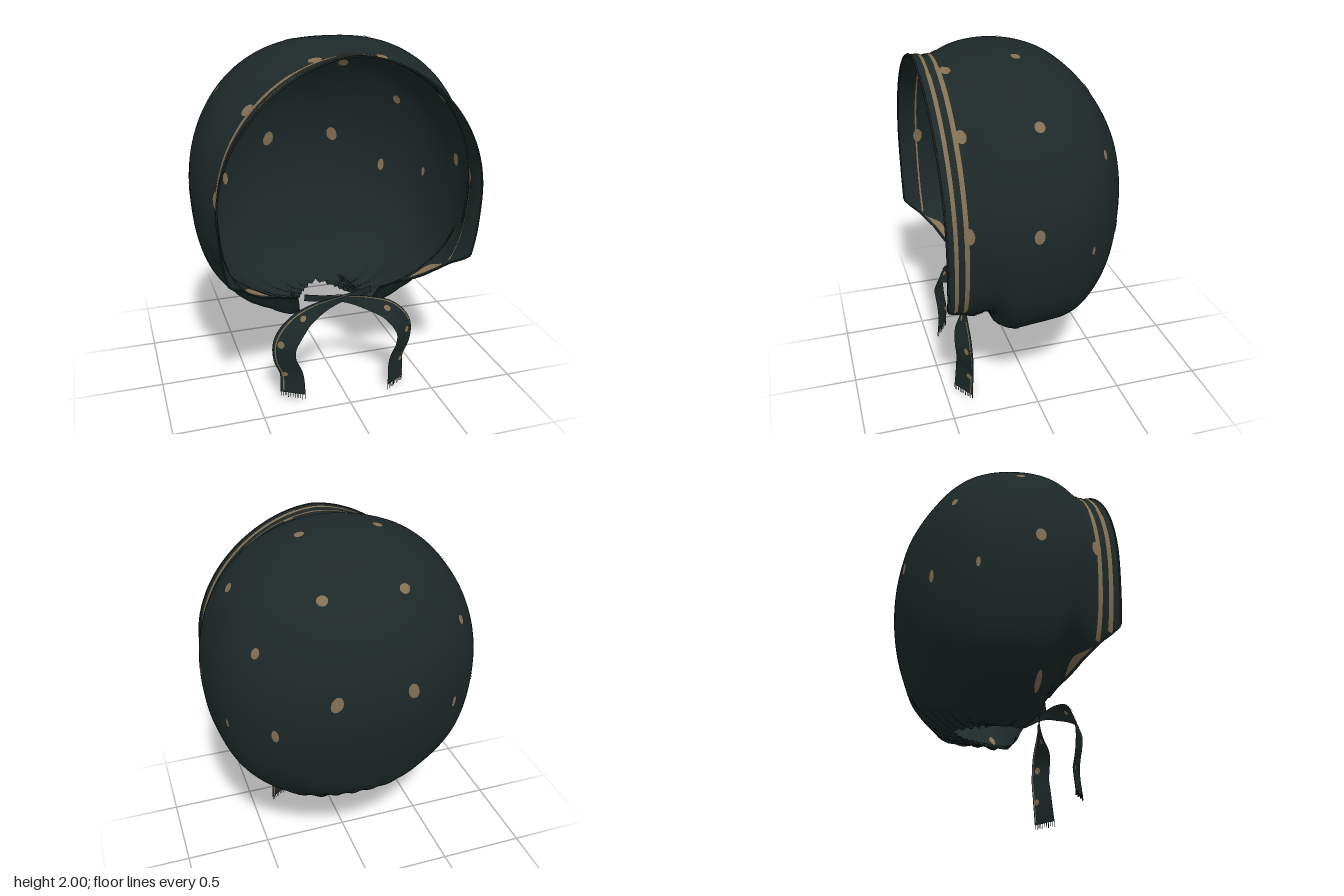
import * as THREE from 'three';

const mat = (name, color) => {
  const m = new THREE.MeshStandardMaterial({ color, side: THREE.DoubleSide });
  m.name = name;
  return m;
};

// Smooth curve through [x, y] knots
function smoothCurve(knots) {
  const n = knots.length;
  const slope = i => {
    const a = knots[Math.max(i - 1, 0)], b = knots[Math.min(i + 1, n - 1)];
    return (b[1] - a[1]) / (b[0] - a[0]);
  };
  return x => {
    let i = 0;
    while (i < n - 2 && x > knots[i + 1][0]) i++;
    const [x0, y0] = knots[i], [x1, y1] = knots[i + 1], h = x1 - x0;
    const t = THREE.MathUtils.clamp((x - x0) / h, 0, 1), t2 = t * t, t3 = t2 * t;
    return y0 * (2 * t3 - 3 * t2 + 1) + y1 * (3 * t2 - 2 * t3)
      + h * (slope(i) * (t3 - 2 * t2 + t) + slope(i + 1) * (t3 - t2));
  };
}

// Cap sections along z: half width, height above and depth below the centre line
const BACK = -0.55, FRONT = 0.54, MID = 1.2;
const depthKey = z => Math.sqrt(Math.max(0, (z - BACK) / (FRONT - BACK)));
const section = rows => smoothCurve(rows.map(([z, v]) => [depthKey(z), v]));
const halfWidth = section([[-0.55, 0], [-0.53, 0.22], [-0.5, 0.335], [-0.45, 0.45], [-0.4, 0.535], [-0.3, 0.655],
  [-0.2, 0.722], [-0.1, 0.757], [0, 0.772], [0.15, 0.78], [0.3, 0.755], [0.42, 0.7], [0.48, 0.7], [0.54, 0.715]]);
const rise = section([[-0.55, 0], [-0.53, 0.21], [-0.5, 0.33], [-0.45, 0.435], [-0.4, 0.515], [-0.3, 0.64],
  [-0.2, 0.72], [-0.1, 0.765], [0, 0.79], [0.13, 0.8], [0.3, 0.78], [0.42, 0.75], [0.54, 0.76]]);
const drop = section([[-0.55, 0], [-0.53, 0.21], [-0.5, 0.35], [-0.45, 0.49], [-0.4, 0.6], [-0.3, 0.69], [-0.2, 0.755],
  [0, 0.77], [0.19, 0.76], [0.28, 0.62], [0.38, 0.647], [0.46, 0.68], [0.54, 0.78]]);

// Where the cloth ends, by angle from the crown: face opening, then neck hole
const EDGE = [[0, 0.54], [118, 0.54], [131, 0.46], [146, 0.38], [160, 0.33], [172, 0.28],
  [174, 0.19], [175.5, 0], [180, -0.2]];
function edgeZ(deg) {
  const a = Math.abs(deg);
  let i = 0;
  while (i < EDGE.length - 2 && a > EDGE[i + 1][0]) i++;
  return THREE.MathUtils.mapLinear(a, EDGE[i][0], EDGE[i + 1][0], EDGE[i][1], EDGE[i + 1][1]);
}

function capPoint(deg, z) {
  const { lerp, smoothstep, degToRad } = THREE.MathUtils;
  const q = depthKey(z), a = degToRad(deg), s = Math.sin(a), c = Math.cos(a);
  const f = smoothstep(z, 0.2, 0.54);
  // fuller cheeks below, slightly pointed arch at the brim
  const lower = lerp(lerp(0.75, 0.59, smoothstep(z, -0.5, -0.1)), 0.5, f);
  const power = c > 0 ? 0.82 + 0.33 * f : lerp(0.82, lower, Math.min(1, -c * 4));
  const tuck = c < 0 ? 0.2 * c ** 4 * (1 - c ** 4) * drop(q) : 0;
  const p = new THREE.Vector3(Math.sign(s) * halfWidth(q) * Math.abs(s) ** power,
    MID + c * (c > 0 ? rise(q) : drop(q)) + tuck, z);
  // gathers radiating from the neck
  const near = (1 - smoothstep(p.y, 0.42, 0.74)) ** 1.5;
  const fold = Math.cos(22 * Math.atan2(p.x, p.z)) * 0.012 * near;
  p.x *= 1 + fold * 2;
  p.y += fold;
  return p;
}

// Point just outside (or inside) the cloth, for printed details
function printPoint(deg, z, off) {
  const e = 0.004, p = capPoint(deg, z);
  const du = p.clone().sub(capPoint(deg, z - e)), dv = capPoint(deg + 0.4, z).sub(p);
  return p.addScaledVector(du.cross(dv).normalize(), off);
}

// Grid of points, fn(u, v); wrapped joins the last v column to the first
function sheet(nu, nv, fn, wrapped = false) {
  const pos = [], idx = [], cols = wrapped ? nv : nv + 1;
  for (let i = 0; i <= nu; i++)
    for (let j = 0; j < cols; j++) pos.push(...fn(i / nu, j / nv).toArray());
  for (let i = 0; i < nu; i++)
    for (let j = 0; j < nv; j++) {
      const k = (j + 1) % cols, a = i * cols + j, b = i * cols + k;
      idx.push(a, a + cols, b, b, a + cols, b + cols);
    }
  const g = new THREE.BufferGeometry();
  g.setAttribute('position', new THREE.Float32BufferAttribute(pos, 3));
  g.setIndex(idx);
  g.computeVertexNormals();
  return g;
}

export function createModel() {
  const root = new THREE.Group();
  root.name = 'bonnet';
  const cloth = mat('darkCloth', 0x1d2828);
  const tan = mat('tanPrint', 0x826f53);
  const thread = mat('fringeThread', 0x171e1e);
  const add = (name, geometry, material, parent = root) => {
    const m = new THREE.Mesh(geometry, material);
    m.name = name;
    parent.add(m);
  };

  // Cap, with columns packed closer towards the neck
  add('cap', sheet(52, 320, (u, v) => {
    const x = 2 * v - 1, deg = 180 * x * (1.4 - 0.4 * x * x);
    return capPoint(deg, BACK + (edgeZ(deg) - BACK) * u ** 1.8);
  }, true), cloth);

  // Rolled hem round the face opening
  const hem = [];
  for (let d = -172; d <= 172; d += 2) hem.push(capPoint(d, edgeZ(d)));
  add('hem', new THREE.TubeGeometry(new THREE.CatmullRomCurve3(hem), 240, 0.005, 6), cloth);

  // Two printed stripes along the brim, one showing faintly through inside
  for (const [z0, z1, end, off] of [[0.426, 0.45, 132, 0.004], [0.483, 0.505, 124, 0.004], [0.43, 0.44, 132, -0.004]])
    add('brimStripe', sheet(2, 140, (u, v) =>
      printPoint(end * (2 * v - 1), z0 + (z1 - z0) * u, off)), tan);

  // Printed spots: angle from crown, z, half size across, half size along
  const spots = [[16, -0.33, 0.03, 0.028], [57, -0.31, 0.03, 0.022], [12, 0.055, 0.03, 0.028],
    [47, 0.05, 0.029, 0.028], [86, 0.1, 0.038, 0.028], [15, 0.405, 0.036, 0.028], [48, 0.41, 0.036, 0.028],
    [85, 0.425, 0.044, 0.028], [98, -0.21, 0.028, 0.012], [100, -0.415, 0.038, 0.02],
    [63, -0.528, 0.046, 0.031], [150, 0.14, 0.07, 0.016]];
  for (const side of [1, -1])
    for (const [a, z, across, along] of spots) {
      const d = a * side, p = capPoint(d, z);
      const perDeg = capPoint(d + 0.5, z).distanceTo(p) / 0.5;
      const perZ = capPoint(d, z + 0.002).distanceTo(p) / 0.002;
      for (const off of [0.004, -0.004])
        add('spot', sheet(3, 12, (r, k) => printPoint(d + r * across / perDeg * Math.cos(k * Math.PI * 2),
          z + r * along / perZ * Math.sin(k * Math.PI * 2), off)), tan);
    }

  // Long prints lying along the slanted lower edge
  for (const side of [1, -1])
    for (const off of [0.004, -0.004])
      add('edgePrint', sheet(2, 16, (u, v) => {
        const d = side * (136 + 24 * v);
        return printPoint(d, edgeZ(d) - 0.012 - 0.035 * u * Math.sin(v * Math.PI), off);
      }), tan);

  // Ribbon ties crossing under the chin
  for (const side of [1, -1]) {
    const tie = new THREE.Group();
    tie.name = side > 0 ? 'leftTie' : 'rightTie';
    root.add(tie);
    const endY = side > 0 ? 0.03 : 0.06, lift = side > 0 ? 0 : 0.012;
    const path = new THREE.CatmullRomCurve3([[-0.2, 0.575, 0.26], [-0.1, 0.565, 0.28], [0, 0.56, 0.295 + lift],
      [0.14, 0.535, 0.34], [0.27, 0.485, 0.39], [0.35, 0.38, 0.4], [0.353, 0.28, 0.395],
      [0.315, 0.18, 0.39], [0.31, endY, 0.4]].map(([x, y, z]) => new THREE.Vector3(x * side, y, z)));
    const width = smoothCurve([[0, 0.04], [0.22, 0.045], [0.4, 0.085], [0.6, 0.115], [0.8, 0.115], [1, 0.125]]);
    // v runs -0.5 to 0.5 across the ribbon
    const point = (u, v, off = 0) => {
      const t = path.getTangentAt(u);
      const w = new THREE.Vector3(t.y, -t.x, 0).normalize();
      w.z = 0.65 * side * THREE.MathUtils.smoothstep(u, 0.2, 0.6);
      const n = t.clone().cross(w).normalize();
      return path.getPointAt(u).addScaledVector(w, -v * width(u)).addScaledVector(n, off);
    };
    add('ribbon', sheet(48, 6, (u, v) => point(u, v - 0.5)), cloth, tie);

    for (const off of [0.005, -0.005]) {
      add('ribbonLine', sheet(48, 1, (u, v) => point(0.15 + 0.84 * u, 0.38 * side + 0.05 * v, off)), tan, tie);
      for (const [u, v] of [[0.48, 0.05], [0.67, 0.15], [0.87, 0.28]])
        add('ribbonSpot', sheet(2, 12, (r, k) => point(u + 0.02 * r * Math.cos(k * Math.PI * 2),
          v * side + 0.14 * r * Math.sin(k * Math.PI * 2), off)), tan, tie);
    }

    // Fringe
    for (let i = 0; i < 11; i++) {
      const p = point(1, -0.48 + 0.096 * i);
      const len = p.y - (side > 0 ? 0 : 0.03) - (i % 3) * 0.004;
      add('fringe', new THREE.BoxGeometry(0.003, len, 0.003).translate(p.x, p.y - len / 2, p.z), thread, tie);
    }
  }
  return root;
}
